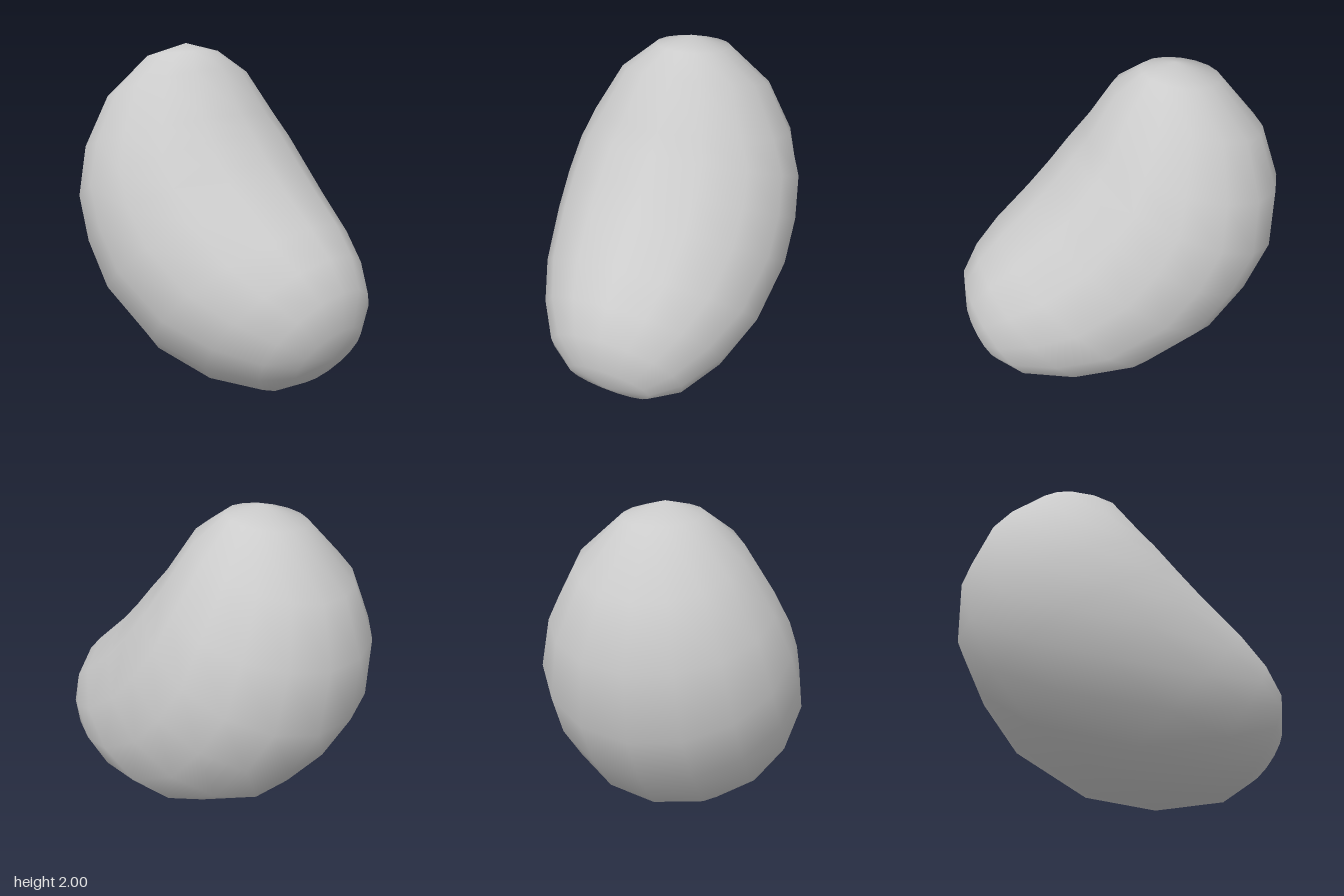
import * as THREE from 'three';

// Cross-sections along the curved spine:
// outer edge (x, y), inner edge (x, y), half depth in z
const SECTIONS = [
  [-0.60, 1.91, -0.15, 1.96, 0.22],
  [-0.87, 1.60, 0.00, 1.86, 0.45],
  [-0.985, 1.28, 0.17, 1.61, 0.62],
  [-0.97, 0.90, 0.26, 1.51, 0.71],
  [-0.82, 0.60, 0.38, 1.37, 0.745],
  [-0.60, 0.31, 0.52, 1.23, 0.745],
  [-0.17, 0.06, 0.73, 1.05, 0.68],
  [0.26, 0.00, 0.87, 0.91, 0.56],
  [0.63, 0.06, 0.97, 0.75, 0.41],
  [0.81, 0.18, 0.985, 0.54, 0.25],
];
const TOP_TIP = [-0.34, 2.0, 0];
const LOW_TIP = [0.925, 0.34, 0];
const SIDES = 16;

// Elliptical rings joined into one smooth closed skin
function beanGeometry() {
  const positions = [...TOP_TIP];
  for (const [ox, oy, ix, iy, depth] of SECTIONS) {
    for (let j = 0; j < SIDES; j++) {
      const a = (j / SIDES) * Math.PI * 2;
      const t = (1 + Math.cos(a)) / 2; // 0 = outer edge, 1 = inner edge
      positions.push(ox + (ix - ox) * t, oy + (iy - oy) * t, depth * Math.sin(a));
    }
  }
  positions.push(...LOW_TIP);

  const last = SECTIONS.length - 1;
  const lowTip = 1 + SECTIONS.length * SIDES;
  const at = (ring, j) => 1 + ring * SIDES + (j % SIDES);
  const index = [];
  for (let j = 0; j < SIDES; j++) {
    index.push(0, at(0, j + 1), at(0, j));
    for (let i = 0; i < last; i++) {
      const a = at(i, j), b = at(i, j + 1), c = at(i + 1, j), d = at(i + 1, j + 1);
      index.push(a, b, c, b, d, c);
    }
    index.push(at(last, j), at(last, j + 1), lowTip);
  }

  const geometry = new THREE.BufferGeometry();
  geometry.setAttribute('position', new THREE.Float32BufferAttribute(positions, 3));
  geometry.setIndex(index);
  geometry.computeVertexNormals();
  return geometry;
}

export function createModel() {
  const group = new THREE.Group();
  group.name = 'bean';
  const body = new THREE.Mesh(
    beanGeometry(),
    new THREE.MeshStandardMaterial({ color: 0xcccccc }),
  );
  body.name = 'beanBody';
  group.add(body);
  return group;
}
